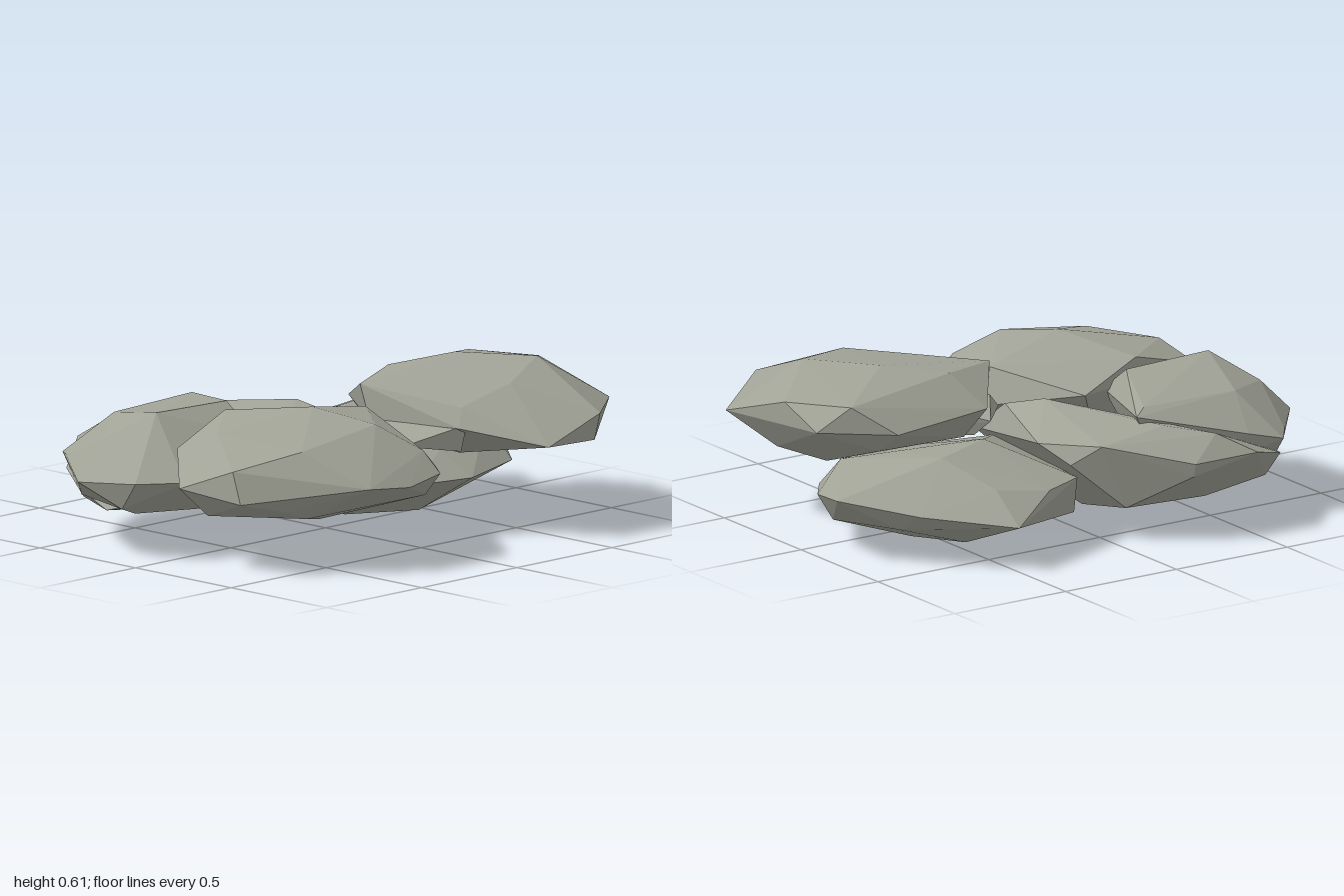
import * as THREE from 'three';
import { ConvexGeometry } from 'three/addons/geometries/ConvexGeometry.js';

const stone = new THREE.MeshStandardMaterial({ color: 0xa1a397, flatShading: true });
stone.name = 'grey stone';

// Each slab is faceted between its crown (top), rim (widest outline) and base (underside).
const slabs = {
  frontRightSlab: {
    crown: [[0.08, 0.55, 0.1], [0.33, 0.57, 0.0], [0.55, 0.605, 0.13], [0.73, 0.6, 0.38], [0.24, 0.49, 0.47],
      [0.45, 0.56, 0.52], [0.83, 0.54, -0.08], [0.97, 0.53, 0.15]],
    rim: [[0.25, 0.45, -0.13], [0.68, 0.43, -0.17], [0.95, 0.45, -0.03], [1, 0.42, 0.49], [0.8, 0.44, 0.58],
      [0.67, 0.45, 0.77], [0.4, 0.36, 0.77], [0.2, 0.42, 0.5], [0.08, 0.42, 0.15]],
    base: [[0.9, 0.31, 0.3], [0.78, 0.27, 0.15], [0.4, 0.27, 0.3], [0.3, 0.33, -0.05], [0.7, 0.35, -0.08],
      [0.65, 0.35, 0.76], [0.55, 0.26, 0.2]],
  },
  // Pointed ledge under the overhang of the front right slab
  frontLedge: {
    crown: [[0.08, 0.42, 0.2], [0.24, 0.43, 0.5], [0.45, 0.44, 0.3], [0.12, 0.44, 0.04]],
    rim: [[-0.01, 0.37, 0.41], [0.04, 0.37, 0.1], [0.2, 0.38, -0.08]],
    base: [[0.22, 0.33, 0.49], [0.4, 0.28, 0.3], [0.22, 0.31, 0]],
  },
  backRightSlab: {
    crown: [[0.35, 0.38, -0.25], [0.6, 0.37, -0.34], [0.62, 0.35, -0.18], [0.78, 0.3, 0.06], [0.06, 0.26, 0.1],
      [0.42, 0.26, 0.18], [0.5, 0.28, -0.55]],
    rim: [[0.5, 0.17, -0.7], [0.28, 0.25, -0.58], [0.1, 0.25, -0.5], [0.78, 0.2, -0.46], [0.84, 0.25, -0.33],
      [0.99, 0.24, -0.22], [0.94, 0.21, -0.02], [0.78, 0.17, 0.2], [0.45, 0.17, 0.32], [0.18, 0.18, 0.3], [-0.07, 0.18, 0.12]],
    base: [[0.47, 0, 0.02], [0.02, 0.06, 0.08], [0.87, 0.1, -0.02], [0.5, 0.03, -0.35], [0.8, 0.13, -0.35],
      [0.08, 0.1, -0.45], [0.62, 0.03, -0.17]],
  },
  frontLeftSlab: {
    crown: [[-0.35, 0.555, 0.28], [-0.47, 0.51, -0.06], [-0.72, 0.49, 0.15], [-0.64, 0.46, 0.51], [0.01, 0.49, 0.2],
      [-0.26, 0.51, 0.52], [-0.08, 0.43, 0.42], [-0.13, 0.41, 0.64]],
    rim: [[-0.92, 0.31, 0.15], [-0.87, 0.4, 0.38], [-0.87, 0.28, 0.42], [-0.7, 0.24, 0.5], [-0.5, 0.33, 0.73],
      [-0.3, 0.31, 0.74], [-0.11, 0.33, 0.71], [0.06, 0.3, 0.52], [0.06, 0.36, 0.15], [-0.2, 0.42, -0.12], [-0.78, 0.42, 0]],
    base: [[-0.43, 0.16, 0.4], [-0.6, 0.2, 0.5], [-0.12, 0.24, 0.64], [-0.82, 0.2, 0.2], [-0.4, 0.14, 0.1], [0, 0.22, 0.3]],
  },
  backLeftSlab: {
    crown: [[-0.72, 0.52, -0.17], [-0.35, 0.51, -0.17], [-0.2, 0.47, -0.5], [-0.62, 0.46, -0.49], [-0.85, 0.42, -0.32]],
    rim: [[-1, 0.28, -0.3], [-0.95, 0.3, -0.05], [-0.78, 0.31, -0.58], [-0.72, 0.3, -0.66], [-0.57, 0.34, -0.65],
      [-0.14, 0.45, -0.54], [-0.35, 0.4, -0.02], [-0.8, 0.3, 0.06]],
    base: [[-0.93, 0.19, -0.14], [-0.85, 0.16, -0.15], [-0.43, 0.11, -0.2], [-0.3, 0.14, -0.5], [-0.78, 0.17, -0.5]],
  },
  // Broad lower slab running under the back left one
  backMiddleSlab: {
    crown: [[-0.38, 0.39, -0.71], [-0.22, 0.42, -0.6], [-0.1, 0.44, -0.4], [0.02, 0.46, -0.17], [0.08, 0.41, 0]],
    rim: [[-0.52, 0.31, -0.78], [-0.24, 0.31, -0.78], [-0.24, 0.26, -0.77], [0.05, 0.38, -0.59], [0.13, 0.3, -0.5],
      [0.18, 0.36, -0.36], [0.08, 0.27, 0.2], [-0.72, 0.24, -0.64], [-0.8, 0.2, -0.5], [-0.4, 0.25, 0.05]],
    base: [[-0.06, 0.07, -0.3], [-0.43, 0.09, -0.35], [-0.4, 0.12, -0.61], [-0.7, 0.14, -0.57], [-0.85, 0.15, -0.3],
      [-0.05, 0.13, -0.6], [0, 0.17, 0.1]],
  },
};

function makeSlab(name, { crown, rim, base }) {
  const points = [...crown, ...rim, ...base].map((p) => new THREE.Vector3(...p));
  const mesh = new THREE.Mesh(new ConvexGeometry(points), stone);
  mesh.name = name;
  return mesh;
}

export function createModel() {
  const group = new THREE.Group();
  group.name = 'rockCluster';
  for (const [name, slab] of Object.entries(slabs)) group.add(makeSlab(name, slab));
  return group;
}
